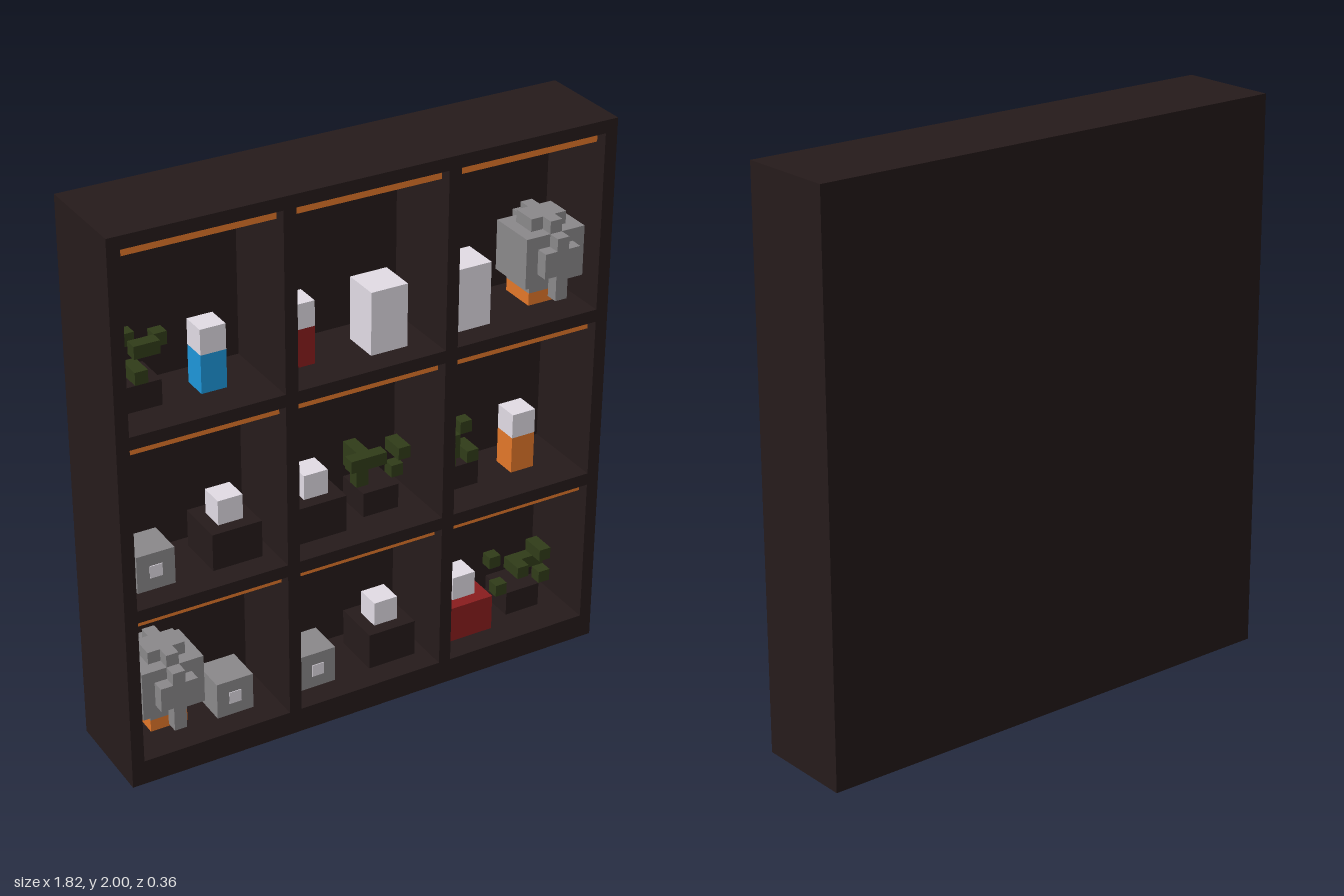
import * as THREE from 'three';

const U = 2 / 44; // one block
const mat = (name, color) => {
  const m = new THREE.MeshStandardMaterial({ color, side: THREE.DoubleSide });
  m.name = name;
  return m;
};

// Box geometry without the listed faces (0 +x, 1 -x, 2 top, 3 bottom, 4 front, 5 back)
function shell(w, h, d, open) {
  const geo = new THREE.BoxGeometry(w, h, d);
  const index = Array.from(geo.index.array);
  geo.setIndex(index.filter((v, i) => !open.includes(Math.floor(i / 6))));
  geo.clearGroups();
  return geo;
}

export function createModel() {
  const root = new THREE.Group();
  root.name = 'displayShelf';
  const wood = mat('darkWood', 0x261b1b);
  const orange = mat('orange', 0xe5782a);
  const white = mat('paleWhite', 0xe4dee7);
  const grey = mat('stoneGrey', 0x8c8a8c);
  const blue = mat('blue', 0x1e98dc);
  const red = mat('red', 0x8b1d1e);
  const green = mat('leafGreen', 0x313d19);

  // Box given by its lowest corner and size, in blocks
  function block(parent, name, m, x, y, z, w, h, d, open = []) {
    const mesh = new THREE.Mesh(shell(w * U, h * U, d * U, open), m);
    mesh.position.set((x + w / 2) * U, (y + h / 2) * U, (z + d / 2) * U);
    mesh.name = name;
    parent.add(mesh);
  }
  function group(name, x, y) {
    const g = new THREE.Group();
    g.name = name;
    g.position.set(x * U, y * U, 0);
    root.add(g);
    return g;
  }

  // Hollow case: open plinth, back, uprights, shelves and light strips
  block(root, 'plinth', wood, -20, 0, -4, 40, 2, 8, [2, 3]);
  block(root, 'backPanel', wood, -20, 2, -4, 40, 42, 1, [3]);
  for (const x of [-20, -7, 6, 19]) block(root, 'upright', wood, x, 2, -3, 1, 42, 7, [3, 5]);
  for (const x of [-19, -6, 7]) {
    block(root, 'middleShelf', wood, x, 14, -3, 12, 1, 7, [0, 1, 5]);
    block(root, 'upperShelf', wood, x, 28, -3, 12, 1, 7, [0, 1, 5]);
    block(root, 'topBoard', wood, x, 43, -3, 12, 1, 7, [0, 1, 5]);
    for (const y of [13, 27, 42]) block(root, 'lightStrip', orange, x, y, 2, 12, 1, 1);
  }

  // Bottom shelf is a sheet, cut out beneath the hollow ornaments
  function rect(path, x, z, w, d) {
    path.moveTo(x * U, -z * U);
    path.lineTo((x + w) * U, -z * U);
    path.lineTo((x + w) * U, -(z + d) * U);
    path.lineTo(x * U, -(z + d) * U);
    path.closePath();
    return path;
  }
  const cutouts = [
    [[-17, -2, 3, 3], [-12, -1, 3, 3]],
    [[-5, -1, 3, 3], [1, -2, 4, 4]],
    [[8, -2, 4, 4], [14, -2, 3, 3]],
  ];
  cutouts.forEach((holes, i) => {
    const sheet = rect(new THREE.Shape(), -19 + 13 * i, -3, 12, 7);
    for (const h of holes) sheet.holes.push(rect(new THREE.Path(), ...h));
    const floor = new THREE.Mesh(new THREE.ShapeGeometry(sheet).rotateX(-Math.PI / 2), wood);
    floor.position.y = 2 * U;
    floor.name = 'bottomShelf';
    root.add(floor);
  });

  // Slim figure: coloured body with a pale head
  function figure(x, y, m) {
    const g = group('figure', x, y);
    block(g, 'body', m, 0, 0, -1, 2, 3, 2, [3]);
    block(g, 'head', white, 0, 3, -1, 2, 2, 2, [3]);
  }
  // Wide pedestal carrying a pale cube
  function pedestal(x, y, m) {
    const g = group('pedestal', x, y);
    block(g, 'base', m, 0, 0, -2, 4, 3, 4, [3]);
    block(g, 'cube', white, 1, 3, -1, 2, 2, 2, [3]);
  }
  // Grey cube with a pale square on the front
  function speaker(x, y) {
    const g = group('greyCube', x, y);
    block(g, 'cubeBody', grey, 0, 0, -1, 3, 3, 3, [3]);
    block(g, 'frontSquare', white, 1, 1, 2, 1, 1, 0.06, [5]);
  }
  // Stone globe with raised crosses on an orange stand
  function globe(x, y) {
    const g = group('globe', x, y);
    block(g, 'stand', orange, 1, 0, -2, 3, 1, 3, [2, 3]);
    block(g, 'neck', grey, 1, 1, -2, 3, 1, 3, [3]);
    block(g, 'globeBody', grey, 0, 2, -2, 5, 4, 4);
    block(g, 'capLong', grey, 2, 6, -2, 1, 1, 4, [3]);
    block(g, 'capLeft', grey, 3, 6, -1, 1, 1, 2, [1, 3]);
    block(g, 'capRight', grey, 1, 6, -1, 1, 1, 2, [0, 3]);
    for (const z of [2, -3]) {
      block(g, 'crossPost', grey, 2, 1, z, 1, 5, 1);
      block(g, 'crossLeft', grey, 3, 3, z, 1, 2, 1, [1]);
      block(g, 'crossRight', grey, 1, 3, z, 1, 2, 1, [0]);
    }
  }
  // Potted plant; each leaf is x, y, z, width, height, depth
  function plant(x, y, leaves) {
    const g = group('pottedPlant', x, y);
    block(g, 'pot', wood, 0, 0, -2, 3, 2, 3, [3]);
    for (const l of leaves) block(g, 'leaf', green, ...l);
  }

  // Top row
  plant(-18, 29, [
    [-1, 2, -1, 1, 2, 1], [-1, 4, 0, 1, 1, 1], [1, 2, -1, 1, 1, 2], [0, 4, -2, 2, 1, 1],
    [2, 4, 0, 1, 1, 1], [3, 4, -1, 1, 1, 1], [-1, 3, -2, 1, 2, 1], [1, 4, 0, 1, 1, 1],
  ]);
  figure(-12, 29, blue);
  figure(-5, 29, red);
  for (const x of [1, 8]) block(root, 'paleBox', white, x, 29, -1, 3, 5, 3);
  globe(14, 29);

  // Middle row
  speaker(-18, 15);
  pedestal(-12, 15, wood);
  pedestal(-5, 15, wood);
  plant(1, 15, [
    [0, 2, -1, 1, 2, 1], [-1, 4, 0, 3, 1, 1], [0, 4, -2, 1, 1, 2],
    [3, 4, -1, 1, 1, 2], [3, 2, -1, 1, 1, 1], [0, 3, -2, 1, 1, 1],
  ]);
  plant(8, 15, [
    [0, 2, -1, 1, 1, 2], [1, 2, -1, 2, 1, 1], [-1, 3, 0, 2, 1, 1], [1, 3, -2, 1, 1, 2],
    [0, 4, -1, 1, 1, 1], [2, 4, -1, 1, 1, 1], [-1, 2, -2, 1, 1, 1], [2, 2, 0, 1, 1, 1],
  ]);
  figure(14, 15, orange);

  // Bottom row
  globe(-18, 2);
  speaker(-12, 2);
  speaker(-5, 2);
  pedestal(1, 2, wood);
  pedestal(8, 2, red);
  plant(14, 2, [
    [-1, 4, -1, 1, 1, 1], [-1, 2, 0, 1, 1, 1], [1, 3, -1, 3, 1, 1],
    [3, 4, -1, 1, 1, 2], [3, 2, 0, 1, 1, 1], [1, 3, 0, 1, 1, 1],
  ]);
  return root;
}
